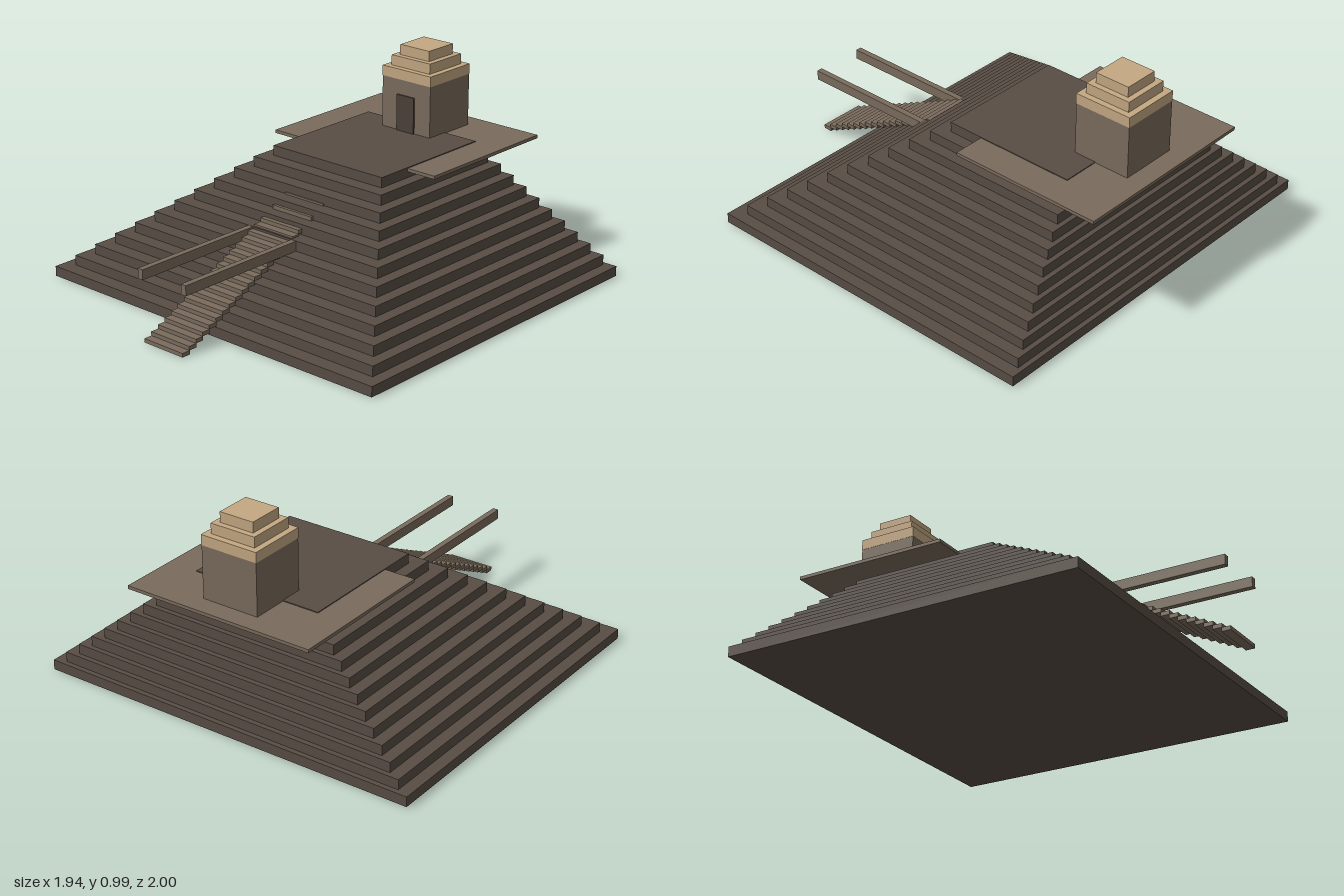
import * as THREE from 'three';

const material = (name, color) => {
  const m = new THREE.MeshStandardMaterial({ color });
  m.name = name;
  return m;
};

// Box given by its lower and upper limits on each axis
function addBox(parent, name, mat, [x0, x1], [y0, y1], [z0, z1]) {
  const mesh = new THREE.Mesh(new THREE.BoxGeometry(x1 - x0, y1 - y0, z1 - z0), mat);
  mesh.position.set((x0 + x1) / 2, (y0 + y1) / 2, (z0 + z1) / 2);
  mesh.name = name;
  parent.add(mesh);
  return mesh;
}

function addGroup(parent, name) {
  const g = new THREE.Group();
  g.name = name;
  parent.add(g);
  return g;
}

export function createModel() {
  const darkStone = material('dark stone', 0x584d45);
  const paleStone = material('pale stone', 0x7a6c5c);
  const sandstone = material('sandstone', 0xc4a882);
  const shadowStone = material('doorway dark', 0x4a4038);

  const model = new THREE.Group();
  model.name = 'steppedPyramid';

  // Twelve tiers, receding more at the front than at the back
  const tiers = addGroup(model, 'tiers');
  const tierCount = 12, tierHeight = 0.04875;
  for (let i = 0; i < tierCount; i++) {
    const half = 0.97 - i * 0.0582;
    addBox(tiers, 'tier', darkStone, [-half, half],
      [i * tierHeight, (i + 1) * tierHeight],
      [-0.99 + i * 0.0241, 0.755 - i * 0.0732]);
  }
  const top = tierCount * tierHeight;

  // Thin terrace slab overhanging the back and sides
  addBox(model, 'terrace', paleStone, [-0.485, 0.485], [0.565, 0.581], [-1, -0.23]);

  // Staircase of separate treads running up into the tiers
  const stairs = addGroup(model, 'staircase');
  const rise = 0.0195, run = 0.0408;
  for (let i = 0; i < 24; i++) {
    const front = 1 - i * run;
    addBox(stairs, 'tread', paleStone, [-0.117, 0.117],
      [i * rise, (i + 1) * rise - 0.0005], [front - 0.044, front]);
  }

  // Level rails either side of the staircase
  for (const side of [-1, 1]) {
    const rail = addBox(model, side > 0 ? 'leftRail' : 'rightRail', paleStone,
      [0.117, 0.146], [0.292, 0.34], [0.2, 1]);
    rail.position.x *= side;
  }

  // Shrine with a doorway and a three-step roof
  const shrine = addGroup(model, 'shrine');
  const centre = -0.757;
  addBox(shrine, 'shrineWalls', paleStone, [-0.145, 0.145], [0.57, 0.835],
    [centre - 0.145, centre + 0.145]);
  addBox(shrine, 'doorway', shadowStone, [-0.052, 0.052], [top, 0.762],
    [centre + 0.144, centre + 0.153]);
  [0.146, 0.116, 0.088].forEach((half, i) => {
    addBox(shrine, 'roofStep', sandstone, [-half, half],
      [0.835 + i * 0.05, 0.885 + i * 0.05], [centre - half, centre + half]);
  });

  return model;
}
